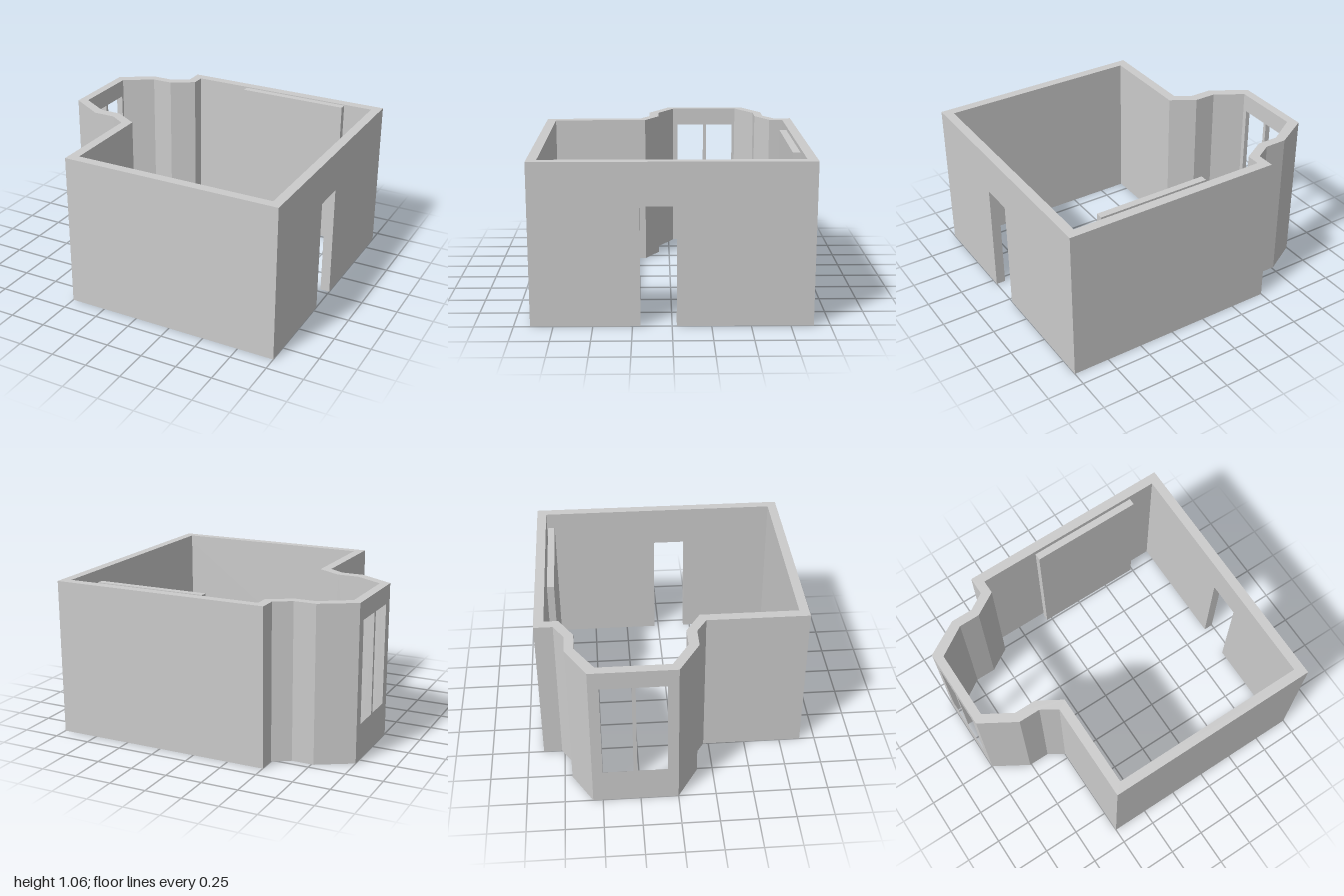
import * as THREE from 'three';

const HEIGHT = 1.06;

const polygon = (points, Type = THREE.Shape) => new Type(points.map(([a, b]) => new THREE.Vector2(a, b)));
const extrude = (shape, depth) => new THREE.ExtrudeGeometry(shape, { depth, bevelEnabled: false });

// Full-height wall from a plan outline of [x, z] points
function planWall(points) {
  return extrude(polygon(points.map(([x, z]) => [x, -z])), HEIGHT).rotateX(-Math.PI / 2);
}

// Wall across x from an elevation outline of [z, y] points, with holes
function sideWall(points, holes, x, depth) {
  const flip = (list) => list.map(([z, y]) => [-z, y]);
  const shape = polygon(flip(points));
  shape.holes = holes.map((hole) => polygon(flip(hole), THREE.Path));
  return extrude(shape, depth).rotateY(Math.PI / 2).translate(x, 0, 0);
}

const rect = (z0, z1, y0, y1) => [[z0, y0], [z1, y0], [z1, y1], [z0, y1]];

export function createModel() {
  const model = new THREE.Group();
  const material = new THREE.MeshStandardMaterial({ color: 0xcccccc, flatShading: true });
  const add = (name, geometry) => {
    const mesh = new THREE.Mesh(geometry, material);
    mesh.name = name;
    model.add(mesh);
  };

  // Front wall, side return and front half of the bay
  add('frontWallAndBay', planWall([
    [1, 0.83], [1, 0.895], [-0.5, 0.895], [-0.5, 0.215], [-0.61, 0.145], [-0.76, 0.145], [-1, 0], [-1, -0.037],
    [-0.94, -0.037], [-0.75, 0.077], [-0.6, 0.077], [-0.435, 0.177], [-0.435, 0.83],
  ]));

  // Back wall, side return and back half of the bay
  add('backWallAndBay', planWall([
    [1, -0.83], [1, -0.895], [-0.5, -0.895], [-0.5, -0.77], [-0.615, -0.7], [-0.765, -0.7], [-1, -0.565], [-1, -0.515],
    [-0.94, -0.515], [-0.74, -0.64], [-0.595, -0.64], [-0.435, -0.735], [-0.435, -0.83],
  ]));

  // Wall with the doorway notched up from the floor
  add('doorWall', sideWall([
    [-0.83, 0], [-0.03, 0], [-0.03, 0.78], [0.2, 0.78], [0.2, 0], [0.83, 0], [0.83, HEIGHT], [-0.83, HEIGHT],
  ], [], 0.935, 0.065));

  // Flat end of the bay with two tall window openings
  add('windowWall', sideWall(rect(-0.515, -0.037, 0, HEIGHT), [
    rect(-0.495, -0.295, 0.245, 0.935),
    rect(-0.27, -0.07, 0.245, 0.935),
  ], -1, 0.06));

  // Free-standing panel just inside the back wall
  add('innerPanel', new THREE.BoxGeometry(0.775, HEIGHT, 0.048).translate(0.35, HEIGHT / 2, -0.789));

  return model;
}
